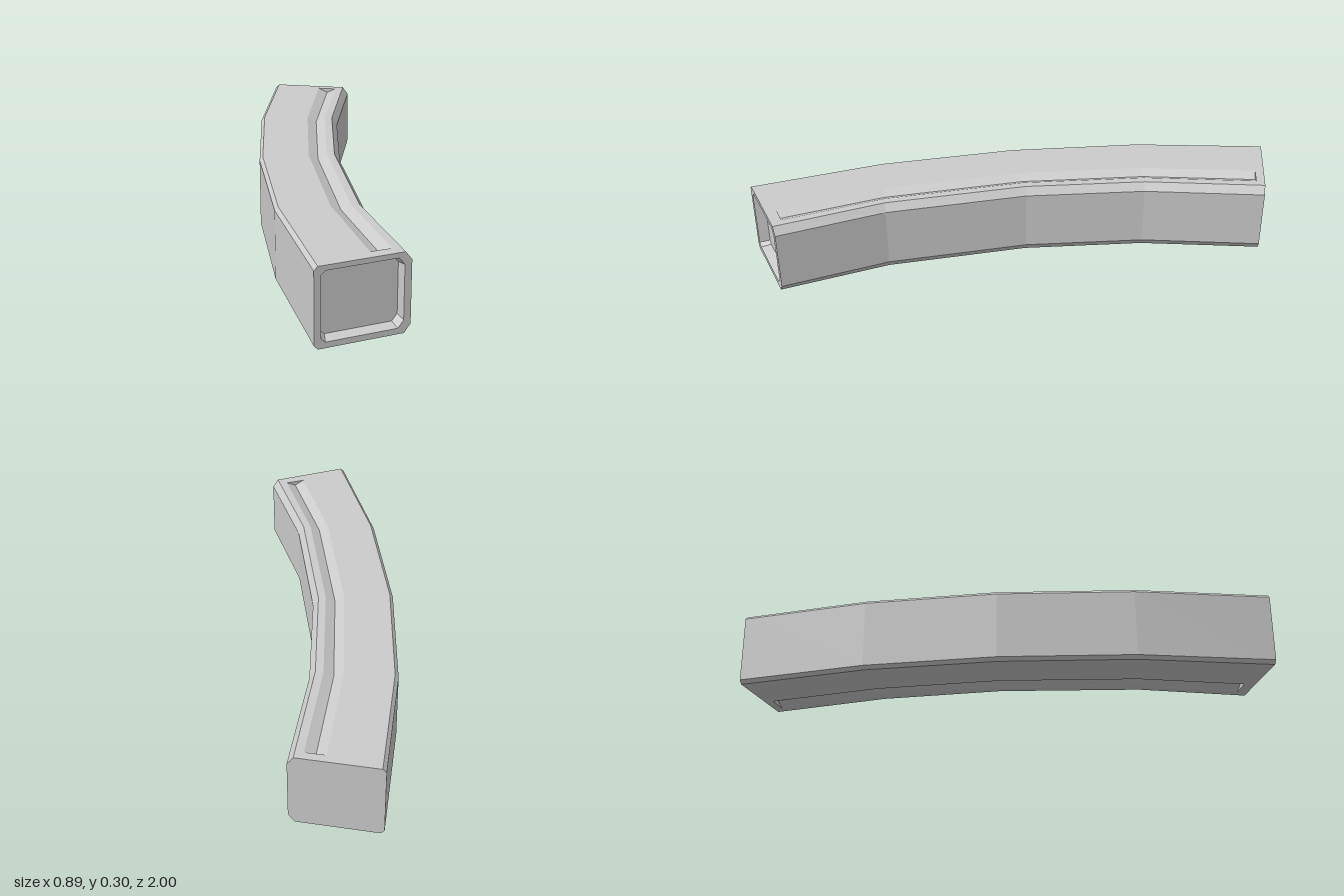
import * as THREE from 'three';

const material = new THREE.MeshStandardMaterial({ color: 0xcccccc, flatShading: true });
const H = 0.296;

// Skin a list of closed rings (anticlockwise seen from +z, running towards -z)
function loft(rings, capEnd) {
  const pos = [];
  const tri = (a, b, c) => {
    const n = b.clone().sub(a).cross(c.clone().sub(a));
    if (n.length() > 1e-9) pos.push(...a, ...b, ...c);
  };
  for (let k = 0; k < rings.length - 1; k++) {
    const A = rings[k], B = rings[k + 1];
    A.forEach((a, i) => {
      const j = (i + 1) % A.length;
      tri(a, B[i], A[j]);
      tri(A[j], B[i], B[j]);
    });
  }
  if (capEnd) {
    const E = rings[rings.length - 1];
    for (let i = 1; i < E.length - 1; i++) tri(E[0], E[i + 1], E[i]);
  }
  const g = new THREE.BufferGeometry();
  g.setAttribute('position', new THREE.Float32BufferAttribute(pos, 3));
  g.computeVertexNormals();
  return g;
}

// Rectangle with a small chamfer on the left and a larger one on the right
function octagon(x0, x1, y0, y1, lx, ly, rx, ry) {
  return [
    [x0 + lx, y0], [x1 - rx, y0], [x1, y0 + ry], [x1, y1 - ry],
    [x1 - rx, y1], [x0 + lx, y1], [x0, y1 - ly], [x0, y0 + ly],
  ].map(([x, y]) => new THREE.Vector2(x, y));
}

// Edges of the curved body in plan: [left x, left z, right x, right z]
const stations = [
  [-0.45, 1, -0.104, 1],
  [-0.39, 0.47, -0.08, 0.57],
  [-0.265, -0.05, 0.045, 0.03],
  [-0.085, -0.54, 0.215, -0.41],
  [0.15, -1, 0.442, -0.825],
];
const between = (a, b, t) => a.map((v, i) => v + (b[i] - v) * t);

// Body cross-section at a station, with a V groove of given depth above and below
function section([lx, lz, rx, rz], depth) {
  const half = [[0.04, 0], [0.61, 0], [0.725, depth], [0.84, 0], [0.932, 0], [1, 0.031]];
  const profile = [
    [0, 0.014], ...half,
    ...half.map(([a, y]) => [a, H - y]).reverse(), [0, H - 0.014],
  ];
  return profile.map(([a, y]) => new THREE.Vector3(lx + (rx - lx) * a, y, lz + (rz - lz) * a));
}

export function createModel() {
  const model = new THREE.Group();
  const add = (name, geometry) => {
    const mesh = new THREE.Mesh(geometry, material);
    mesh.name = name;
    model.add(mesh);
    return mesh;
  };

  // Curved body; doubled sections make the upright ends of the grooves
  const depth = 0.018;
  const grooveStart = between(stations[0], stations[1], 0.095);
  const grooveEnd = between(stations[3], stations[4], 0.93);
  add('curvedBody', loft([
    section(stations[0], 0),
    section(grooveStart, 0), section(grooveStart, depth),
    ...stations.slice(1, 4).map((s) => section(s, depth)),
    section(grooveEnd, depth), section(grooveEnd, 0),
    section(stations[4], 0),
  ], true));

  // Flat rim around the front opening
  const outer = octagon(-0.45, -0.104, 0, H, 0.014, 0.014, 0.0235, 0.031);
  const opening = octagon(-0.425, -0.13, 0.022, 0.277, 0.015, 0.014, 0.021, 0.026);
  const floor = octagon(-0.411, -0.135, 0.031, 0.27, 0.013, 0.013, 0.02, 0.025);
  const rim = new THREE.Shape(outer);
  rim.holes.push(new THREE.Path(opening));
  add('frontRim', new THREE.ShapeGeometry(rim)).position.z = 1;

  // Shallow tapering recess and its floor
  const recessZ = 0.96;
  const at = (pts, z) => pts.map((p) => new THREE.Vector3(p.x, p.y, z));
  add('recessWalls', loft([at(floor, recessZ), at(opening, 1)], false));
  add('recessFloor', new THREE.ShapeGeometry(new THREE.Shape(floor))).position.z = recessZ;

  return model;
}
